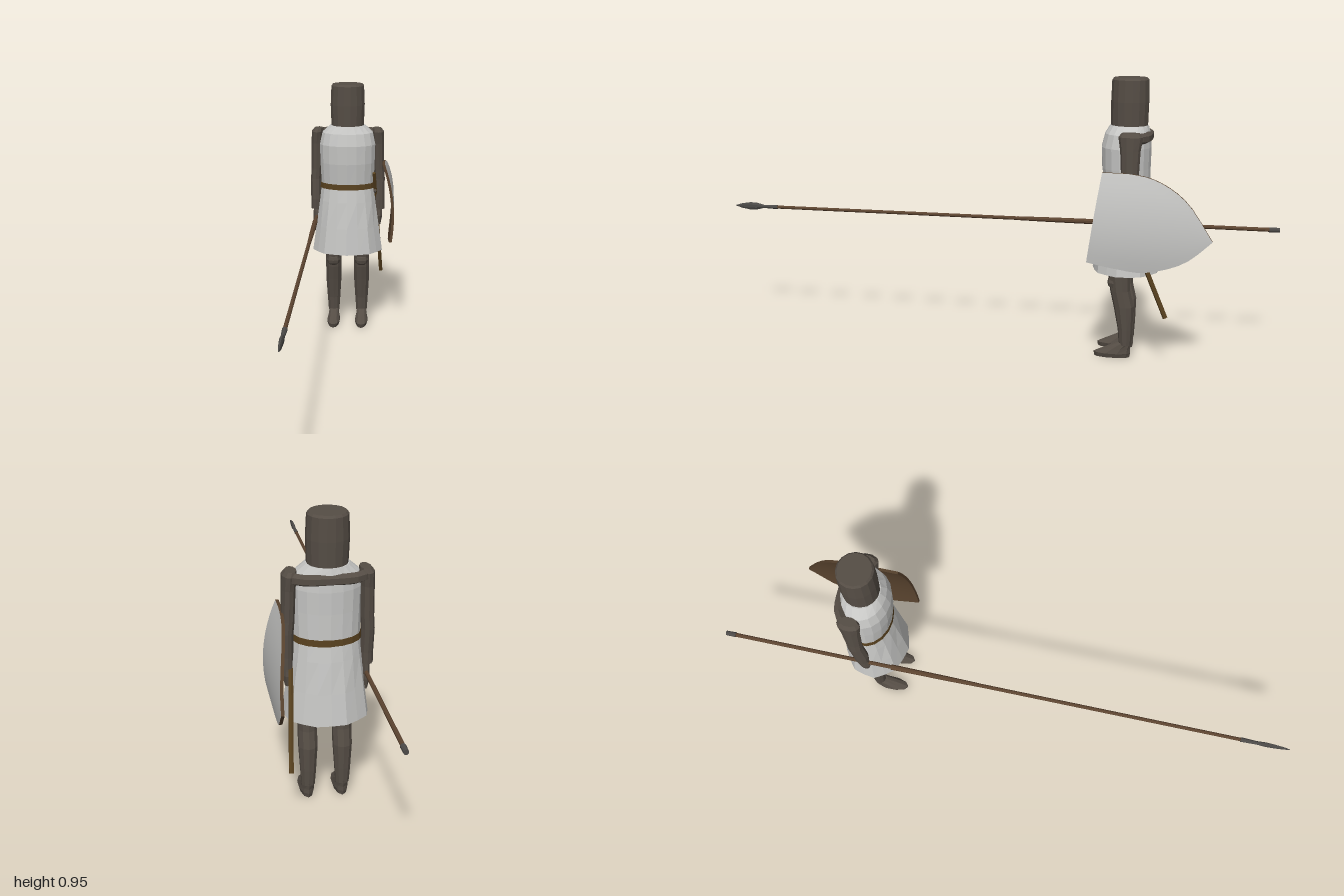
import * as THREE from 'three';

const mat = (name, color, flatShading = true) => {
  const m = new THREE.MeshStandardMaterial({ color, flatShading, side: THREE.DoubleSide });
  m.name = name;
  return m;
};

// Stack of elliptical rings [y, cx, cz, rx, rz], listed from bottom to top
function loft(rings, n = 10, capBottom = true, capTop = true) {
  const pos = [], idx = [];
  for (const [y, cx, cz, rx, rz] of rings)
    for (let i = 0; i < n; i++) {
      const a = ((i + 0.5) / n) * Math.PI * 2;
      pos.push(cx + Math.cos(a) * rx, y, cz + Math.sin(a) * rz);
    }
  for (let j = 0; j < rings.length - 1; j++)
    for (let i = 0; i < n; i++) {
      const k = (i + 1) % n, a = j * n + i, b = j * n + k;
      idx.push(a, a + n, b, b, a + n, b + n);
    }
  const cap = (j, top) => {
    const [y, cx, cz] = rings[j], c = pos.length / 3;
    pos.push(cx, y, cz);
    for (let i = 0; i < n; i++) {
      const a = j * n + i, b = j * n + ((i + 1) % n);
      if (top) idx.push(c, b, a); else idx.push(c, a, b);
    }
  };
  if (capBottom) cap(0, false);
  if (capTop) cap(rings.length - 1, true);
  const g = new THREE.BufferGeometry();
  g.setAttribute('position', new THREE.Float32BufferAttribute(pos, 3));
  g.setIndex(idx);
  g.computeVertexNormals();
  return g;
}

// Surface patch from fn(u, v) -> Vector3
function patch(fn, nu, nv) {
  const pos = [], idx = [];
  for (let i = 0; i <= nu; i++)
    for (let j = 0; j <= nv; j++) pos.push(...fn(i / nu, j / nv).toArray());
  for (let i = 0; i < nu; i++)
    for (let j = 0; j < nv; j++) {
      const a = i * (nv + 1) + j, b = a + nv + 1;
      idx.push(a, b, a + 1, b, b + 1, a + 1);
    }
  const g = new THREE.BufferGeometry();
  g.setAttribute('position', new THREE.Float32BufferAttribute(pos, 3));
  g.setIndex(idx);
  g.computeVertexNormals();
  return g;
}

export function createModel() {
  const model = new THREE.Group();
  const steel = mat('dark steel', 0x554d45);
  const cloth = mat('white cloth', 0xc6c6c4);
  const leather = mat('brown leather', 0x58411f);
  const wood = mat('spear wood', 0x5c4430);
  const shieldWhite = mat('shield white', 0xc6c6c4, false);
  const shieldBrown = mat('shield brown', 0x55402c, false);
  const iron = mat('spear iron', 0x4c4a48);
  const add = (name, geo, material, parent = model) => {
    const m = new THREE.Mesh(geo, material);
    m.name = name;
    parent.add(m);
    return m;
  };
  const X = -0.018, Z = -0.492;

  // Great helm, dipping to a point at front and back
  const helm = loft([[0.795, X, Z, 0.063, 0.061], [0.87, X, Z, 0.066, 0.063],
    [0.942, X, Z, 0.063, 0.061], [0.949, X, Z, 0.057, 0.055]], 16);
  const hp = helm.attributes.position;
  for (let i = 0; i < hp.count; i++)
    if (hp.getY(i) < 0.8) hp.setY(i, 0.795 - 0.022 * Math.abs(hp.getZ(i) - Z) / 0.061);
  add('helm', helm, steel);

  // Tunic with a gently rippled skirt
  const tunic = loft([[0.3, X, -0.493, 0.136, 0.113], [0.4, X, -0.492, 0.122, 0.1],
    [0.5, X, -0.492, 0.109, 0.085], [0.56, X, -0.492, 0.102, 0.075],
    [0.65, X, -0.485, 0.106, 0.081], [0.72, X, -0.484, 0.108, 0.083],
    [0.765, X, -0.488, 0.098, 0.076], [0.792, X, -0.492, 0.067, 0.064]], 18, false, true);
  const tp = tunic.attributes.position;
  for (let i = 0; i < tp.count; i++) {
    const y = tp.getY(i);
    if (y < 0.45) {
      const k = 1 + (i % 2 ? -0.03 : 0.01);
      tp.setX(i, X + (tp.getX(i) - X) * k);
      tp.setZ(i, Z + (tp.getZ(i) - Z) * k);
    }
  }
  add('tunic', tunic, cloth);
  add('belt', loft([[0.55, X, Z, 0.107, 0.08], [0.571, X, Z, 0.105, 0.079]], 18, false, false), leather);

  // Mail roll across the back of the shoulders
  const roll = new THREE.CatmullRomCurve3([[-0.115, -0.52], [-0.08, -0.548], [0, -0.556],
    [0.08, -0.548], [0.115, -0.52]].map(([x, z]) => new THREE.Vector3(X + x, 0.757, z)));
  add('shoulderRoll', new THREE.TubeGeometry(roll, 10, 0.018, 6), steel);

  // Limbs on both sides
  for (const s of [-1, 1]) {
    const side = s > 0 ? 'left' : 'right';
    const ax = X + s * 0.12, lx = X + s * 0.055;
    add(side + 'Arm', loft([[0.462, ax + s * 0.003, -0.5, 0.021, 0.025], [0.5, ax + s * 0.003, -0.5, 0.021, 0.027],
      [0.58, ax + s * 0.004, -0.508, 0.021, 0.027], [0.62, ax + s * 0.001, -0.508, 0.021, 0.028],
      [0.72, ax - s * 0.001, -0.507, 0.022, 0.033], [0.765, ax - s * 0.003, -0.507, 0.023, 0.04],
      [0.778, ax - s * 0.008, -0.507, 0.017, 0.03]], 10), steel);
    const low = s > 0 ? 0.4 : 0.372;
    add(side + 'Hand', loft([[low, ax, -0.498, 0.009, 0.014], [low + 0.035, ax + s * 0.002, -0.497, 0.014, 0.022],
      [0.45, ax + s * 0.002, -0.498, 0.013, 0.019], [0.468, ax + s * 0.002, -0.5, 0.011, 0.016]], 8), steel);
    add(side + 'Leg', loft([[0.045, lx, -0.501, 0.022, 0.021], [0.1, lx, -0.5, 0.026, 0.025],
      [0.18, lx, -0.493, 0.031, 0.034], [0.235, lx, -0.48, 0.031, 0.034],
      [0.29, lx, -0.475, 0.032, 0.036], [0.42, lx, -0.48, 0.036, 0.045]], 10), steel);
    add(side + 'Knee', new THREE.SphereGeometry(1, 8, 6), steel).scale.set(0.027, 0.025, 0.022);
    model.children.at(-1).position.set(lx, 0.263, -0.458);
    add(side + 'Foot', loft([[0, lx, -0.457, 0.021, 0.06], [0.015, lx, -0.457, 0.026, 0.063],
      [0.03, lx, -0.472, 0.022, 0.047], [0.052, lx, -0.498, 0.018, 0.025]], 10), steel);
  }

  // Sheathed sword on the left hip
  const rod = (name, a, b, r, material) => {
    const A = new THREE.Vector3(...a), B = new THREE.Vector3(...b), d = B.clone().sub(A);
    const m = add(name, new THREE.CylinderGeometry(r, r, d.length(), 6), material);
    m.position.copy(A).addScaledVector(d, 0.5);
    m.quaternion.setFromUnitVectors(new THREE.Vector3(0, 1, 0), d.normalize());
  };
  rod('scabbard', [0.112, 0.17, -0.637], [0.09, 0.53, -0.483], 0.008, leather);
  rod('swordGrip', [0.09, 0.53, -0.483], [0.085, 0.612, -0.448], 0.007, leather);
  rod('swordGuard', [0.089, 0.52, -0.508], [0.089, 0.542, -0.457], 0.006, steel);

  // Curved shield with its point to the rear
  const curve = (pts) => new THREE.SplineCurve(pts.map((p) => new THREE.Vector2(...p)));
  const top = curve([[-0.42, 0.65], [-0.52, 0.648], [-0.61, 0.625], [-0.7, 0.562], [-0.78, 0.445]]);
  const bottom = curve([[-0.377, 0.356], [-0.47, 0.338], [-0.57, 0.33], [-0.69, 0.368], [-0.78, 0.445]]);
  const onShield = (u, v, inset) => {
    const p = bottom.getPoint(u).lerp(top.getPoint(u), v);
    return new THREE.Vector3(0.163 - 0.9 * (p.y - 0.45) ** 2 - inset, p.y, p.x);
  };
  const shield = new THREE.Group();
  shield.name = 'shield';
  model.add(shield);
  add('shieldFace', patch((u, v) => onShield(u, v, 0), 14, 10), shieldWhite, shield);
  add('shieldBack', patch((u, v) => onShield(u, 1 - v, 0.01), 14, 10), shieldBrown, shield);
  add('shieldRimTop', patch((u, v) => onShield(u, 1, v * 0.01), 14, 1), shieldBrown, shield);
  add('shieldRimBottom', patch((u, v) => onShield(u, 0, (1 - v) * 0.01), 14, 1), shieldBrown, shield);
  add('shieldRimFront', patch((u, v) => onShield(0, u, (1 - v) * 0.01), 10, 1), shieldBrown, shield);

  // Spear held level, pointing forward (lofted upright, then laid along z)
  const spear = new THREE.Group();
  spear.name = 'spear';
  spear.position.set(-0.14, 0.43, 0);
  spear.rotation.x = Math.PI / 2;
  model.add(spear);
  const ring = (y, rx, rz = rx) => [y, 0, 0, rx, rz];
  add('spearShaft', loft([ring(-0.97, 0.007), ring(0.85, 0.006)], 8), wood, spear);
  add('spearGrip', loft([ring(-0.4, 0.0095), ring(-0.2, 0.0085), ring(-0.09, 0.007)], 8), wood, spear);
  add('spearButt', loft([ring(-1, 0.008), ring(-0.965, 0.009)], 8), iron, spear);
  add('spearHead', loft([ring(0.83, 0.008), ring(0.885, 0.006), ring(0.915, 0.007, 0.014),
    ring(0.94, 0.006, 0.015), ring(0.975, 0.004, 0.009), ring(1, 0.001)], 8), iron, spear);
  return model;
}
